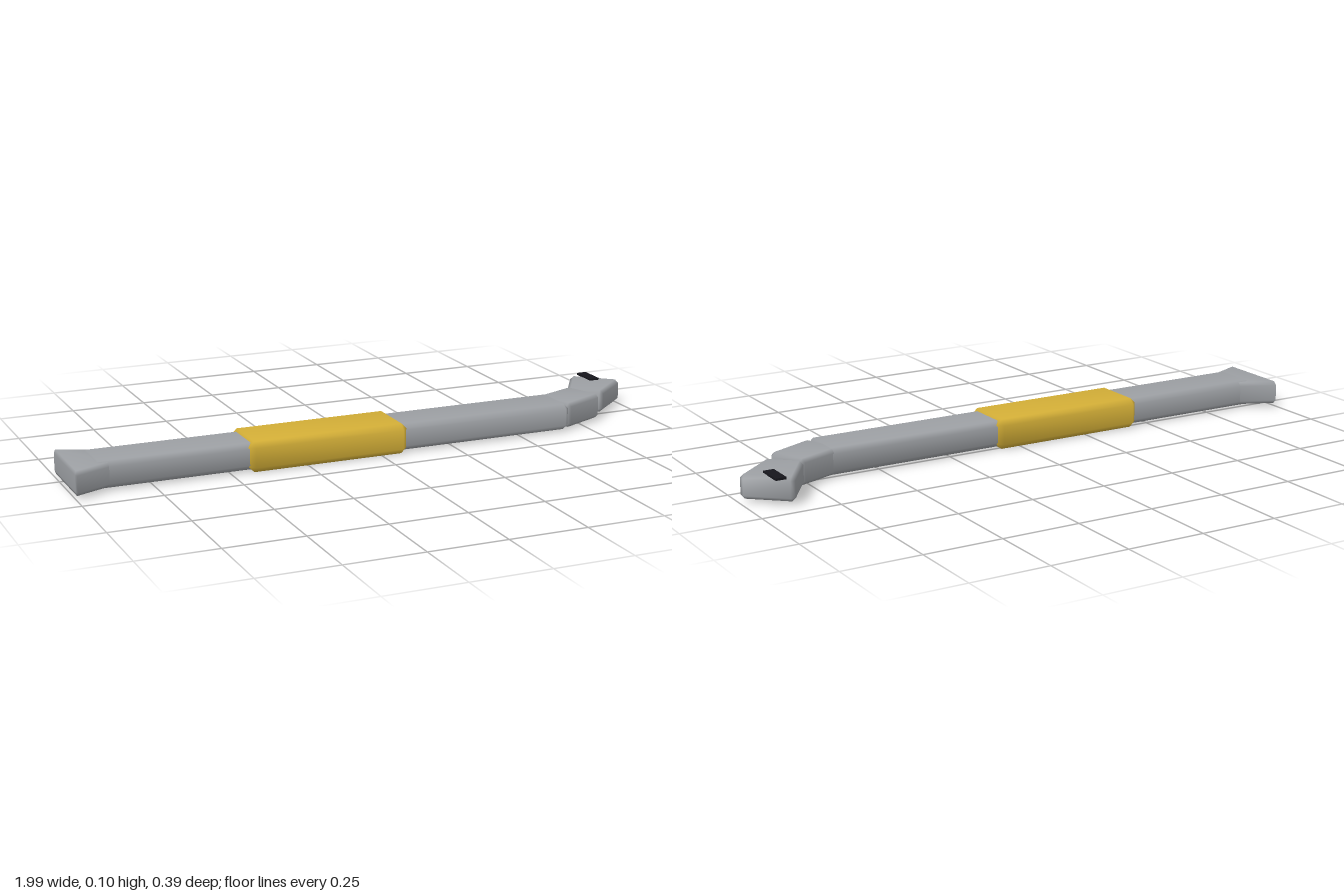
import * as THREE from 'three';
import { mergeVertices } from 'three/addons/utils/BufferGeometryUtils.js';

// Bar along x with bevelled edges; half depth may differ at the two ends
function bevelledBar(length, height, halfStart, halfEnd, bevel, startBevel = bevel) {
  const hh = height / 2, c = bevel, L = length / 2;
  const ring = (x, hw, y, z) => [
    [x, y, z - hw], [x, y, hw - z], [x, hh - c, hw - c], [x, c - hh, hw - c],
    [x, -y, hw - z], [x, -y, z - hw], [x, c - hh, c - hw], [x, hh - c, c - hw],
  ];
  const full = (x, hw) => ring(x, hw, hh, c).map(([px, y, z], i) =>
    [px, y, i % 4 > 1 ? Math.sign(z) * hw : z]);
  const rings = [
    ring(-L, halfStart, hh - c, c), full(-L + startBevel, halfStart),
    full(L - c, halfEnd), ring(L, halfEnd, hh - c, c),
  ];
  const index = [];
  for (let s = 0; s < 3; s++) {
    for (let i = 0; i < 8; i++) {
      const a = s * 8 + i, b = s * 8 + (i + 1) % 8;
      index.push(a, b, b + 8, a, b + 8, a + 8);
    }
  }
  for (let i = 1; i < 7; i++) {
    index.push(0, i + 1, i); // start cap
    index.push(24, 24 + i, 25 + i); // end cap
  }
  const geo = new THREE.BufferGeometry();
  geo.setAttribute('position', new THREE.Float32BufferAttribute(rings.flat(2), 3));
  geo.setIndex(index);
  const merged = mergeVertices(geo, 1e-5);
  merged.computeVertexNormals();
  return merged;
}

export function createModel() {
  const group = new THREE.Group();
  const steel = new THREE.MeshStandardMaterial({ color: 0x9da0a4 });
  steel.name = 'steel grey';
  const gold = new THREE.MeshStandardMaterial({ color: 0xd4af37 });
  gold.name = 'golden yellow';
  const black = new THREE.MeshStandardMaterial({ color: 0x16161c });
  black.name = 'black';

  const midY = 0.049;
  const add = (name, geo, mat, x, z, angle = 0, y = midY) => {
    const mesh = new THREE.Mesh(geo, mat);
    mesh.name = name;
    mesh.position.set(x, y, z);
    mesh.rotation.y = angle;
    group.add(mesh);
  };

  // Straight shaft and grip sleeve
  add('shaft', bevelledBar(1.605, 0.085, 0.081, 0.081, 0.016), steel, -0.128, 0.067);
  add('grip', bevelledBar(0.53, 0.098, 0.096, 0.096, 0.018), gold, -0.18, 0.067);

  // Flared chisel end
  add('flaredEnd', bevelledBar(0.14, 0.077, 0.13, 0.076, 0.012, 0.004), steel, -0.93, 0.066);

  // Bent neck and widening hook tip
  add('neck', bevelledBar(0.175, 0.083, 0.072, 0.068, 0.012), steel, 0.73, 0.035, 0.4);
  add('hook', bevelledBar(0.178, 0.076, 0.062, 0.084, 0.012), steel, 0.878, -0.077, 0.846);

  // Dark slot in the hook tip
  add('slot', new THREE.BoxGeometry(0.034, 0.007, 0.09), black, 0.913, -0.151, 0, 0.0895);

  return group;
}
